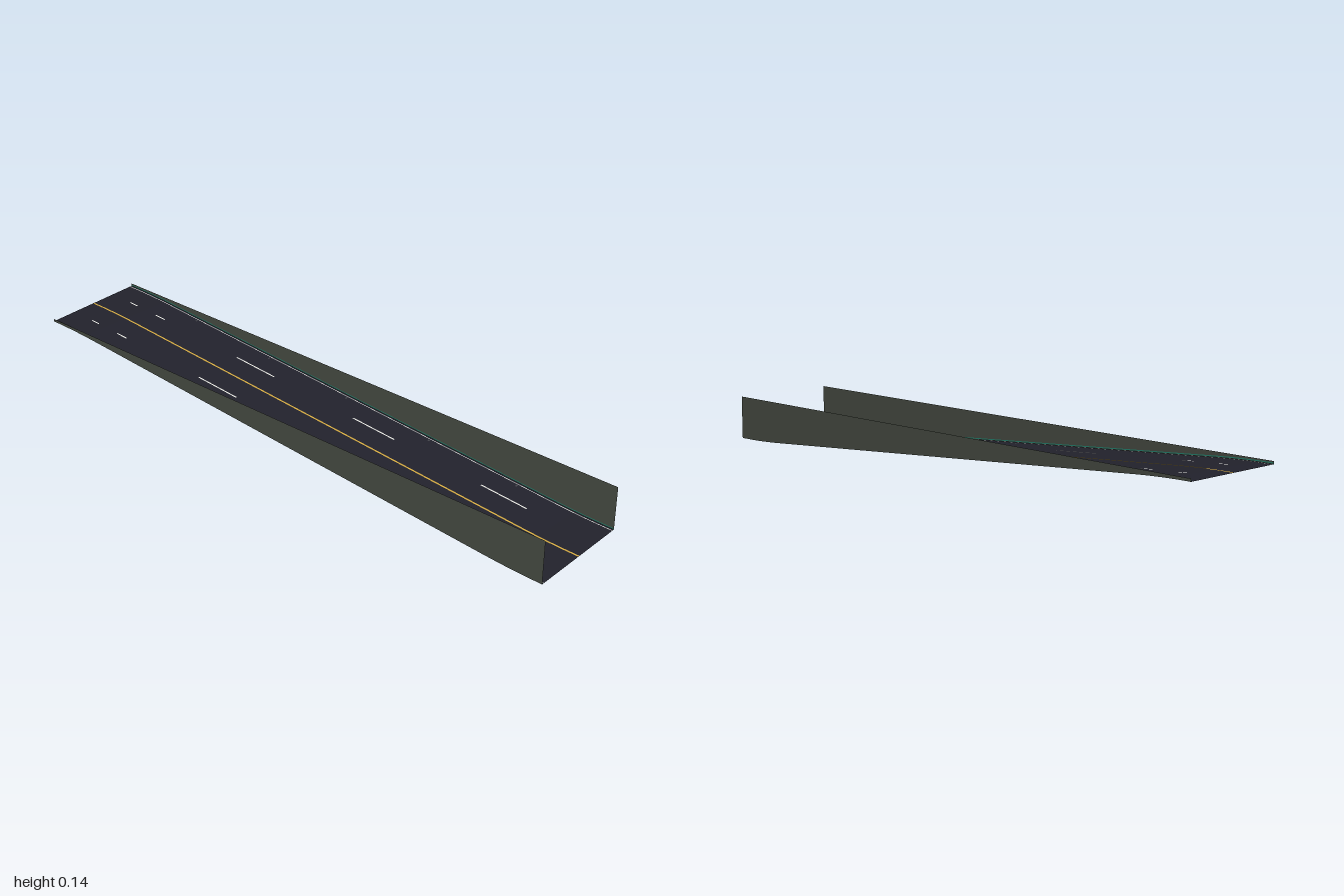
import * as THREE from 'three';

const HALF_WIDTH = 0.18, WALL_TOP = 0.145, RISE = 0.136, EASE = 0.2;
const SLOPE = RISE / (2 - EASE);

// Road height: straight grade with a parabolic ease at the crest and at the foot
function roadY(x) {
  if (x < -1 + EASE) return RISE - SLOPE * (x + 1) ** 2 / (2 * EASE);
  if (x > 1 - EASE) return SLOPE * (1 - x) ** 2 / (2 * EASE);
  return RISE / 2 - SLOPE * x;
}

function flat(name, color) {
  const m = new THREE.MeshStandardMaterial({ color, side: THREE.DoubleSide });
  m.name = name;
  return m;
}

// Sheet between two edges, each a function of x giving [y, z]
function sheet(x0, x1, steps, edgeA, edgeB) {
  const pos = [], index = [];
  for (let i = 0; i <= steps; i++) {
    const x = x0 + (x1 - x0) * i / steps;
    pos.push(x, ...edgeA(x), x, ...edgeB(x));
    if (i < steps) {
      const a = i * 2;
      index.push(a, a + 1, a + 2, a + 1, a + 3, a + 2);
    }
  }
  const g = new THREE.BufferGeometry();
  g.setAttribute('position', new THREE.Float32BufferAttribute(pos, 3));
  g.setIndex(index);
  g.computeVertexNormals();
  return g;
}

export function createModel() {
  const group = new THREE.Group();
  group.name = 'roadRamp';
  const asphalt = flat('asphalt', 0x22222c);
  const concrete = flat('concrete', 0x636a5e);
  const white = flat('whitePaint', 0xe6e6e0);
  const yellow = flat('yellowPaint', 0xd4aa40);
  const teal = flat('tealLight', 0x35b59a);
  const grey = flat('drainGrey', 0x45464c);

  const add = (name, geometry, material) => {
    const mesh = new THREE.Mesh(geometry, material);
    mesh.name = name;
    group.add(mesh);
  };
  // Ribbon lying on the road, centred on z
  const ribbon = (name, material, x0, x1, steps, z, width, lift) => add(name,
    sheet(x0, x1, steps, x => [roadY(x) + lift, z - width / 2], x => [roadY(x) + lift, z + width / 2]), material);

  ribbon('roadDeck', asphalt, -1, 1, 40, 0, HALF_WIDTH * 2, 0);
  ribbon('centreLine', yellow, -1, 1, 40, 0, 0.006, 0.0006);

  for (const side of [-1, 1]) {
    const label = side > 0 ? 'left' : 'right';
    const z = side * HALF_WIDTH;

    // Retaining wall with a level top and a light strip along its inner foot
    add(label + 'Wall', sheet(-1, 1, 40, x => [WALL_TOP, z], x => [roadY(x), z]), concrete);
    const zi = z - side * 0.001;
    add(label + 'LightStrip', sheet(-1, 1, 40, x => [roadY(x) + 0.005, zi], x => [roadY(x) + 0.002, zi]), teal);

    ribbon(label + 'EdgeLine', white, -1, 1, 40, side * 0.172, 0.0025, 0.0006);

    // Lane dashes, each one straight plate
    for (let i = 0; i < 4; i++) {
      const x = -0.827 + i * 0.5;
      ribbon(label + 'LaneDash', white, x - 0.083, x + 0.083, 1, side * 0.089, 0.005, 0.0006);
    }

    // Drain slots beside the edge line
    for (let i = -2; i <= 2; i++) {
      const x = i / 3;
      ribbon(label + 'Drain', grey, x - 0.0025, x + 0.0025, 1, side * 0.163, 0.009, 0.0006);
    }
  }
  return group;
}
